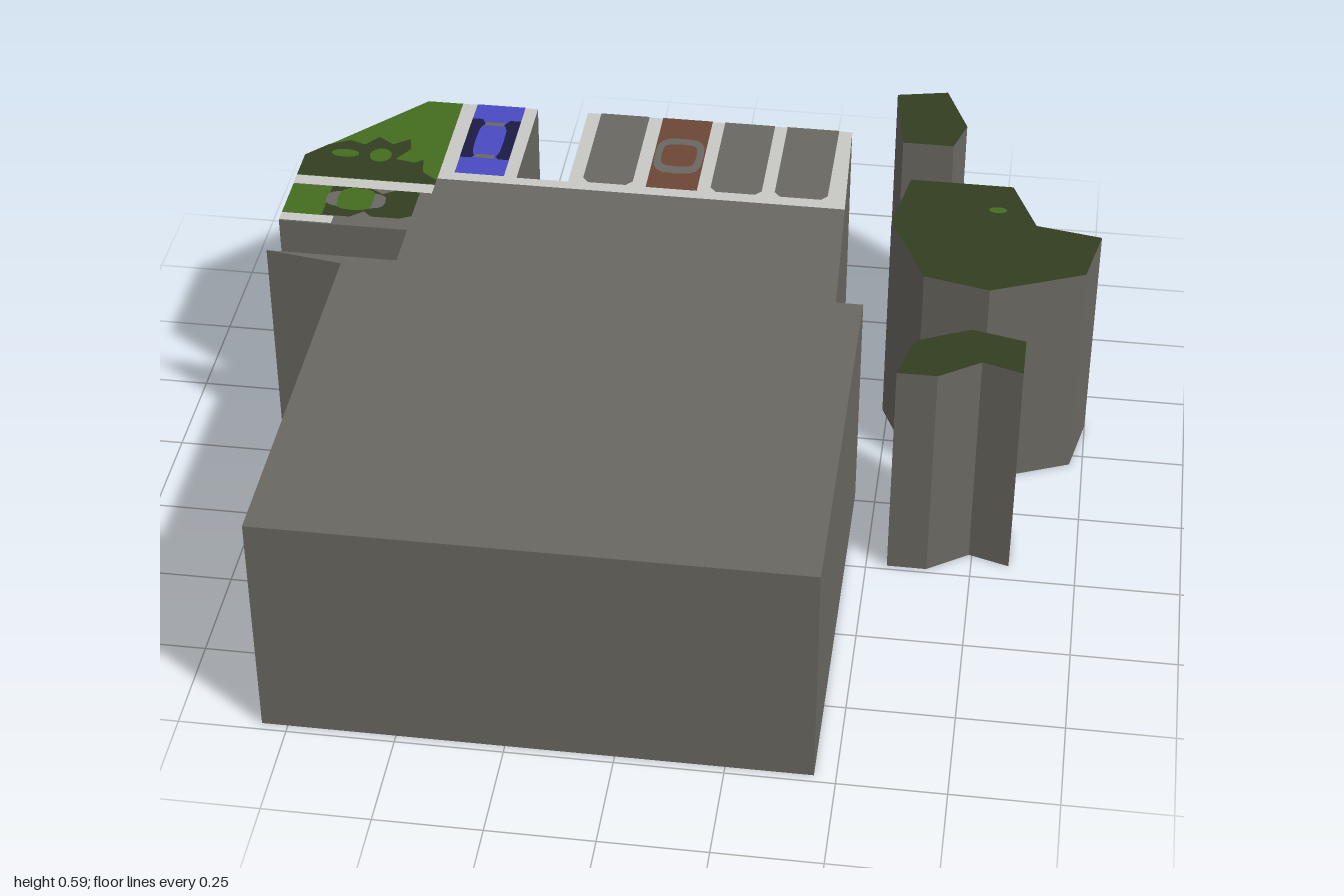
import * as THREE from 'three';

const H = 0.58;
const mat = (name, color, side = THREE.DoubleSide) => {
  const m = new THREE.MeshStandardMaterial({ color, side });
  m.name = name;
  return m;
};

export function createModel() {
  const stone = mat('stone grey', 0x6a6861);
  const paving = mat('light paving', 0xc8c8c4);
  const grass = mat('grass green', 0x446d20);
  const foliage = mat('dark foliage', 0x333e21);
  const blue = mat('blue paint', 0x4a4ac2);
  const navy = mat('dark glass', 0x1c1c46);
  const brown = mat('brown paint', 0x6c4735);

  const model = new THREE.Group();
  const add = (geo, material, name, parent = model) => {
    const mesh = new THREE.Mesh(geo, material);
    mesh.name = name;
    parent.add(mesh);
    return mesh;
  };

  // Flat horizontal face from [x, z] points
  const flat = (pts, y) => {
    const shape = new THREE.Shape(pts.map(([x, z]) => new THREE.Vector2(x, -z)));
    return new THREE.ShapeGeometry(shape).rotateX(-Math.PI / 2).translate(0, y, 0);
  };

  // Upright walls around a counter-clockwise outline, open underneath
  const walls = (pts) => {
    const ccw = THREE.ShapeUtils.isClockWise(pts.map(([x, z]) => new THREE.Vector2(x, -z)))
      ? [...pts].reverse() : pts;
    const pos = [];
    ccw.forEach(([ax, az], i) => {
      const [bx, bz] = ccw[(i + 1) % ccw.length];
      pos.push(ax, 0, az, bx, 0, bz, bx, H, bz, ax, 0, az, bx, H, bz, ax, H, az);
    });
    const g = new THREE.BufferGeometry();
    g.setAttribute('position', new THREE.Float32BufferAttribute(pos, 3));
    g.computeVertexNormals();
    return g;
  };

  const block = (name, pts, topMaterial) => {
    const group = new THREE.Group();
    group.name = name;
    add(walls(pts), stone, name + 'Walls', group);
    add(flat(pts, H), topMaterial, name + 'Top', group);
    model.add(group);
  };

  // Painted faces, stacked just above the roof by layer
  const plate = (name, pts, material, layer = 1) =>
    add(flat(pts, H + 0.0018 * layer), material, name);
  const rect = (x0, x1, z0, z1) => [[x0, z0], [x1, z0], [x1, z1], [x0, z1]];
  const oval = (cx, cz, rx, rz, power = 1, n = 16) => Array.from({ length: n }, (_, i) => {
    const a = (i / n) * Math.PI * 2, c = Math.cos(a), s = Math.sin(a);
    return [cx + rx * Math.sign(c) * Math.abs(c) ** power, cz + rz * Math.sign(s) * Math.abs(s) ** power];
  });

  // Building with its yard, side notch and rear slot
  block('building', [
    [-0.81, 0.98], [0.45, 0.98], [0.45, -0.02], [0.385, -0.02], [0.355, -0.76],
    [-0.325, -0.76], [-0.325, -0.44], [-0.455, -0.44], [-0.455, -0.76], [-0.74, -0.76],
    [-1, -0.47], [-1, -0.18], [-0.68, -0.18], [-0.68, -0.05], [-1, -0.05], [-0.81, -0.02],
  ], stone);

  // Tree clumps
  block('rearTrees', [[0.455, -0.957], [0.583, -0.985], [0.643, -0.83], [0.615, -0.733], [0.487, -0.733]], foliage);
  block('middleTrees', [
    [0.52, -0.567], [0.775, -0.567], [0.84, -0.405], [1, -0.375],
    [0.968, -0.214], [0.743, -0.118], [0.583, -0.155], [0.487, -0.375],
  ], foliage);
  block('frontTrees', [
    [0.71, -0.045 + 0.09], [0.84, 0.075], [0.84, 0.2], [0.743, 0.17],
    [0.645, 0.237], [0.55, 0.237], [0.583, 0.107],
  ], foliage);
  plate('leafSpot', oval(0.743, -0.458, 0.022, 0.013), grass);

  // Parking bays on light paving
  plate('bayPaving', [
    [-0.65, -0.76], [-0.455, -0.76], [-0.455, -0.44], [-0.325, -0.44], [-0.325, -0.76],
    [0.355, -0.76], [0.369, -0.41], [-0.65, -0.41],
  ], paving);
  [[-0.29, -0.165], [0.03, 0.158], [0.19, 0.322]].forEach(([a, b]) =>
    plate('emptyBay', [
      [a, -0.76], [b, -0.76], [b, -0.46], [b - 0.015, -0.442], [a + 0.015, -0.442], [a, -0.46],
    ], stone, 2));

  // Blue car
  plate('blueCarBody', rect(-0.612, -0.487, -0.76, -0.44), blue, 2);
  plate('blueCarWindows', [
    [-0.612, -0.69], [-0.585, -0.69], [-0.575, -0.67], [-0.525, -0.67], [-0.515, -0.69], [-0.487, -0.69],
    [-0.487, -0.51], [-0.515, -0.51], [-0.525, -0.525], [-0.575, -0.525], [-0.585, -0.51], [-0.612, -0.51],
  ], navy, 3);
  plate('blueCarRoof', oval(-0.55, -0.59, 0.036, 0.078, 0.5), blue, 4);
  [-0.664, -0.515].forEach((z) =>
    plate('blueCarScreen', rect(-0.575, -0.525, z - 0.008, z + 0.008), stone, 5));

  // Brown car
  plate('brownCarBody', rect(-0.13, -0.002, -0.76, -0.44), brown, 2);
  plate('brownCarWindows', oval(-0.066, -0.587, 0.062, 0.08, 0.6), stone, 3);
  plate('brownCarRoof', oval(-0.066, -0.587, 0.044, 0.05, 0.5), brown, 4);

  // Garden corner
  plate('lawn', [[-0.74, -0.76], [-0.65, -0.76], [-0.65, -0.38], [-1, -0.38], [-1, -0.47]], grass);
  plate('lawnShrubs', [
    [-1, -0.47], [-0.95, -0.525], [-0.9, -0.55], [-0.86, -0.535], [-0.83, -0.575], [-0.79, -0.545],
    [-0.75, -0.575], [-0.74, -0.53], [-0.77, -0.48], [-0.72, -0.47], [-0.7, -0.485], [-0.69, -0.43],
    [-0.65, -0.4], [-0.65, -0.38], [-1, -0.38],
  ], foliage, 2);
  plate('lawnSpot', oval(-0.9, -0.488, 0.035, 0.018), grass, 3);
  plate('lawnSpot', oval(-0.81, -0.49, 0.028, 0.03), grass, 3);
  plate('gardenPath', rect(-1, -0.65, -0.378, -0.34), paving, 2);
  plate('gardenPathEnd', rect(-0.68, -0.65, -0.378, -0.35), paving, 2);
  plate('gardenEdge', rect(-1, -0.87, -0.213, -0.182), paving);
  plate('bed', rect(-1, -0.9, -0.34, -0.213), grass);
  plate('bedShrubs', [
    [-0.9, -0.34], [-0.8, -0.34], [-0.77, -0.32], [-0.74, -0.34], [-0.68, -0.34], [-0.68, -0.235],
    [-0.71, -0.22], [-0.78, -0.22], [-0.8, -0.24], [-0.83, -0.213], [-0.9, -0.213],
  ], foliage, 2);
  plate('bedStone', oval(-0.83, -0.285, 0.075, 0.035, 0.6), stone, 3);
  plate('bedGrass', oval(-0.83, -0.285, 0.045, 0.048, 0.6), grass, 4);

  return model;
}
